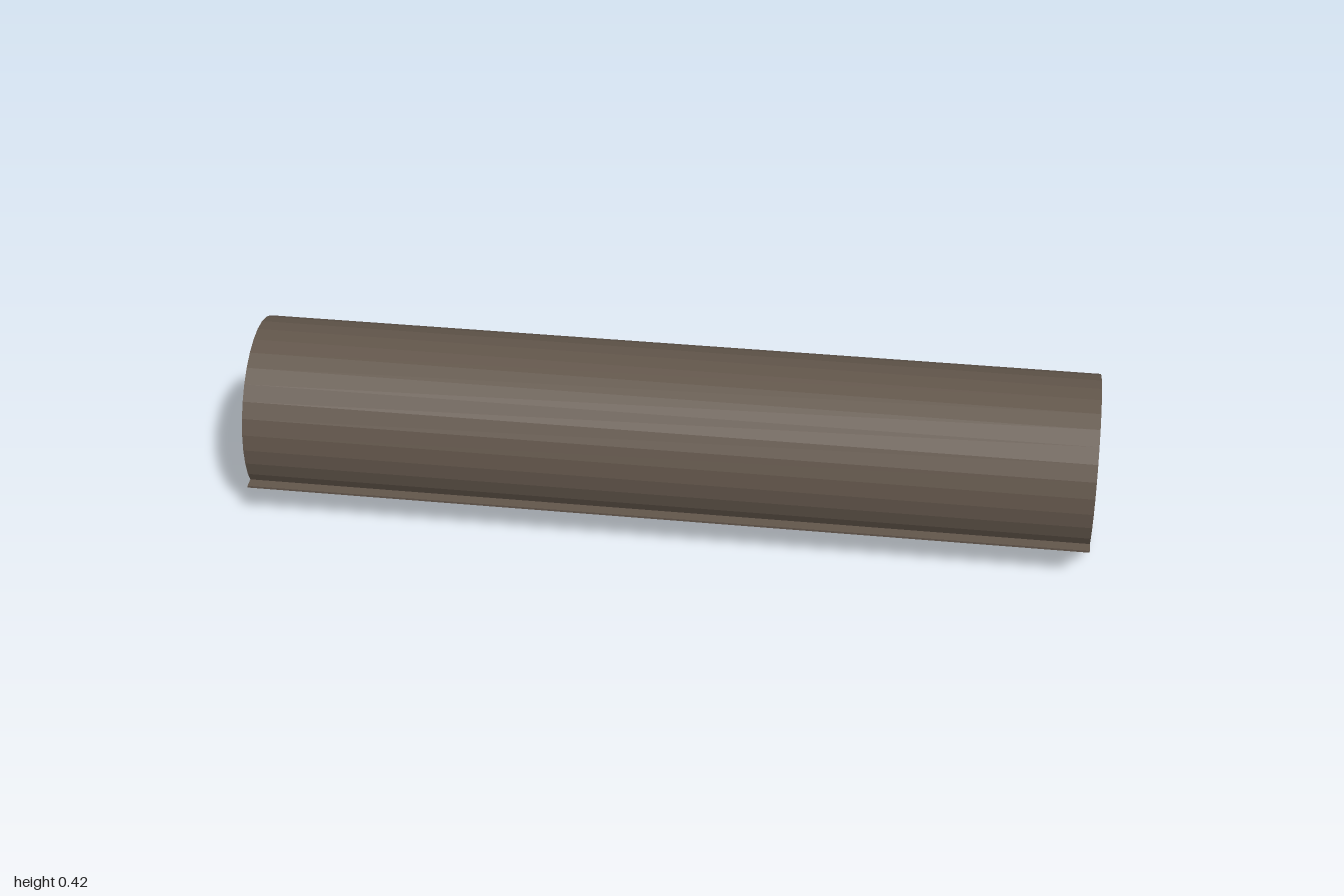
import * as THREE from 'three';

const RADIUS = 0.208, WALL = 0.011, LENGTH = 1.99;

export function createModel() {
  const model = new THREE.Group();
  model.name = 'tunnelSection';

  const darkMetal = new THREE.MeshStandardMaterial({ color: 0x62564b, flatShading: true });
  darkMetal.name = 'darkBrownMetal';

  const add = (name, geometry, x, y, z) => {
    const mesh = new THREE.Mesh(geometry, darkMetal);
    mesh.name = name;
    mesh.position.set(x, y, z);
    model.add(mesh);
  };

  // Hollow 32-sided tube lying along x, open at both ends
  const inner = RADIUS - WALL, half = LENGTH / 2;
  const profile = [
    [inner, -half], [RADIUS, -half], [RADIUS, half], [inner, half], [inner, -half],
  ].map(([r, h]) => new THREE.Vector2(r, h));
  const tube = new THREE.LatheGeometry(profile, 32);
  tube.rotateZ(-Math.PI / 2);
  add('tubeShell', tube, 0.005, RADIUS, 0);

  // Thin floor whose edges pass out through the tube wall
  add('floorPlate', new THREE.BoxGeometry(LENGTH, 0.005, 0.41), 0.005, 0.1, 0);

  // Pair of rails, set slightly towards the right end
  for (const side of [1, -1]) {
    add(side > 0 ? 'frontRail' : 'backRail',
      new THREE.BoxGeometry(LENGTH, 0.046, 0.012), -0.005, 0.1, side * 0.109);
  }

  return model;
}
